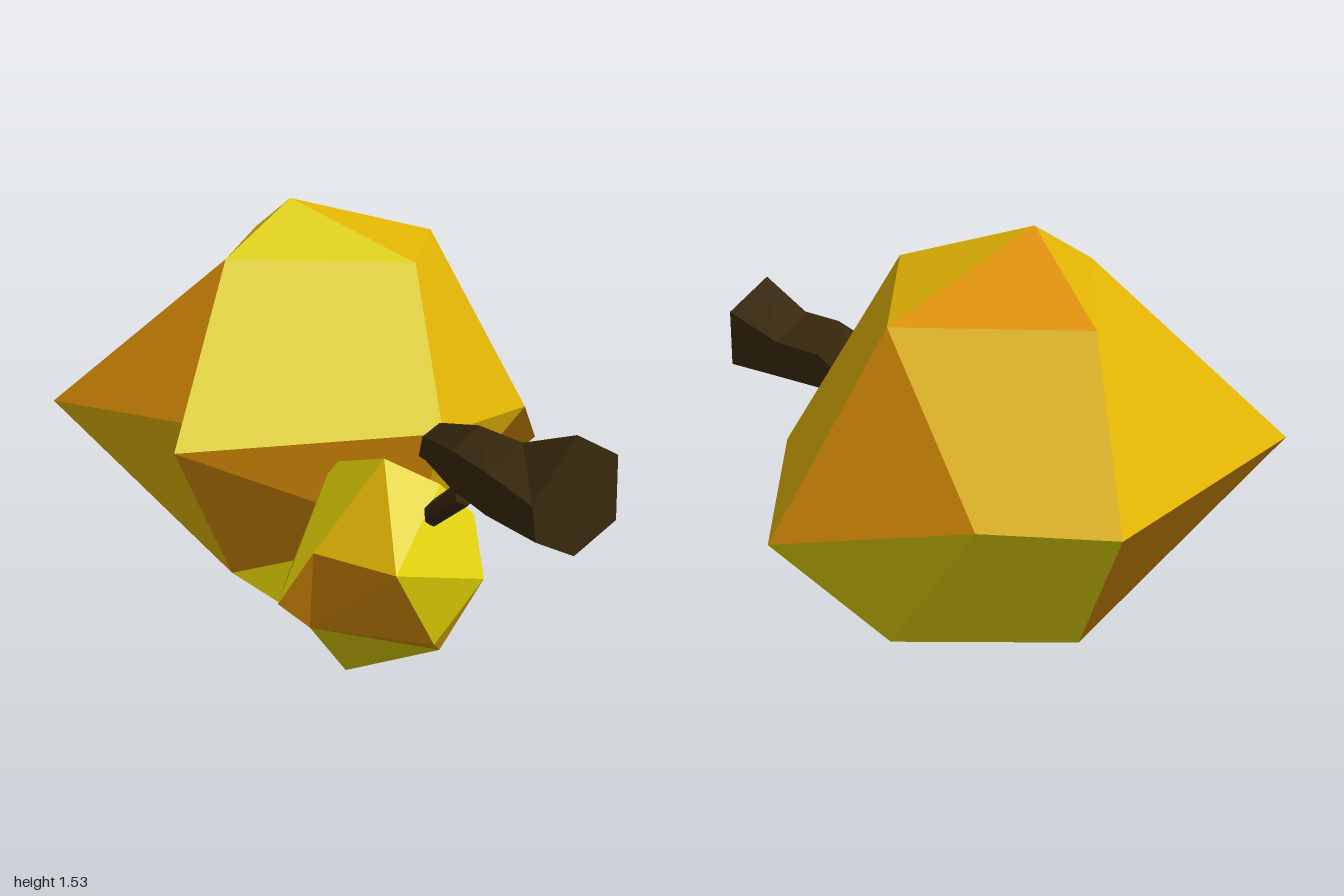
import * as THREE from 'three';

const mat = (name, color) => {
  const m = new THREE.MeshStandardMaterial({ color });
  m.name = name;
  return m;
};

// Faceted mesh from named points; faces are three or four letters, turned away from the centre.
// A four-sided face is split from its first to its third corner and shaded as one facet.
function facets(points, faces, centre, material, name) {
  const c = new THREE.Vector3(...centre);
  const pos = [];
  const nor = [];
  for (const face of faces.split(' ')) {
    let v = [...face].map((k) => new THREE.Vector3(...points[k]));
    const n = v[2].clone().sub(v[0]).cross(v[v.length - 1].clone().sub(v[1])).normalize();
    if (v.length === 3) n.copy(v[1]).sub(v[0]).cross(v[2].clone().sub(v[0])).normalize();
    const mid = v.reduce((s, p) => s.add(p), new THREE.Vector3()).divideScalar(v.length).sub(c);
    if (n.dot(mid) < 0) {
      n.negate();
      v = [v[0], ...v.slice(1).reverse()];
    }
    for (let i = 1; i < v.length - 1; i++) {
      for (const p of [v[0], v[i], v[i + 1]]) {
        pos.push(p.x, p.y, p.z);
        nor.push(n.x, n.y, n.z);
      }
    }
  }
  const g = new THREE.BufferGeometry();
  g.setAttribute('position', new THREE.Float32BufferAttribute(pos, 3));
  g.setAttribute('normal', new THREE.Float32BufferAttribute(nor, 3));
  const mesh = new THREE.Mesh(g, material);
  mesh.name = name;
  return mesh;
}

// Closed faceted prism skinned over rings, ordered clockwise seen from +z, front to back
function skin(rings, material, name) {
  const pos = [];
  const n = rings[0].length;
  const tri = (a, b, c) => pos.push(...a, ...b, ...c);
  for (let k = 0; k < rings.length - 1; k++) {
    for (let i = 0; i < n; i++) {
      const j = (i + 1) % n;
      const [a, b, c, d] = [rings[k][i], rings[k][j], rings[k + 1][j], rings[k + 1][i]];
      tri(a, b, c);
      tri(a, c, d);
    }
  }
  const last = rings[rings.length - 1];
  for (let i = 1; i < n - 1; i++) {
    tri(rings[0][0], rings[0][i + 1], rings[0][i]);
    tri(last[0], last[i], last[i + 1]);
  }
  const g = new THREE.BufferGeometry();
  g.setAttribute('position', new THREE.Float32BufferAttribute(pos, 3));
  g.computeVertexNormals();
  const mesh = new THREE.Mesh(g, material);
  mesh.name = name;
  return mesh;
}

const hexRing = (x, y, z, rx, ry) => Array.from({ length: 6 }, (_, i) => {
  const t = Math.PI / 2 - (i * Math.PI) / 3;
  return [x + rx * Math.cos(t), y + ry * Math.sin(t), z];
});

export function createModel() {
  const root = new THREE.Group();
  root.name = 'leafyBranch';
  const mats = {
    yellow: mat('leafYellow', 0xe2d204),
    gold: mat('leafGold', 0xe2b404),
    orange: mat('leafOrange', 0xde9006),
  };
  const bark = mat('bark', 0x39290e);

  const clump = (name, points, centre, faces) => {
    const group = new THREE.Group();
    group.name = name;
    for (const k in faces) group.add(facets(points, faces[k], centre, mats[k], name + '_' + k));
    root.add(group);
  };

  // Large leaf clump: a dented, once-divided octahedron
  clump('largeLeafClump', {
    A: [-0.12, 1.53, -0.3],
    B: [-0.38, 1.36, -0.3], C: [0.05, 1.36, 0.13], D: [0.48, 1.36, -0.3], E: [0.05, 1.36, -0.73],
    F: [-0.74, 0.83, -0.08], G: [0.05, 0.83, 0.27], H: [0.48, 0.83, 0.19], I: [0.74, 0.63, -0.03],
    J: [0.48, 0.83, -0.68], K: [0.2, 0.83, -1], L: [-0.7, 0.83, -0.87], M: [-0.5, 0.83, -0.3],
    N: [0.48, 0.3, -0.3], O: [0.05, 0.3, -0.7], Q: [0.05, 0.45, 0.13], R: [-0.38, 0.3, -0.3],
    P: [-0.17, 0.12, -0.17],
  }, [0.03, 0.83, -0.3], {
    yellow: 'ACB CGFB PNQ NIJ JKON PRQ',
    gold: 'ADC CDHG DIH EKJD ABE BEKL BMF QHG RML',
    orange: 'AED DJI BML HINQ PNO POR LROK QGF FRM QFR',
  });

  // Small leaf clump hanging in front, with a pointed underside
  clump('smallLeafClump', {
    a: [-0.45, 0.53, 0.24], b: [-0.35, 0.51, 0.52], c: [-0.5, 0.34, 0.12], d: [-0.39, 0.24, 0.14],
    e: [-0.18, 0.24, 0.5], f: [-0.08, 0.17, 0.41], g: [0.175, 0.18, 0.21], h: [0.07, 0.59, 0.4],
    i: [-0.03, 0.44, 0.56], V: [-0.25, 0.82, 0.34], W: [-0.1, 0.73, 0.43], X: [-0.25, 0.75, 0.08],
    Y: [0.1, 0.62, 0.17], Z: [0.08, 0.36, 0], U: [-0.03, 0.165, 0.2], B: [-0.16, 0, 0.03],
    L: [-0.36, 0.36, -0.02],
  }, [-0.16, 0.42, 0.25], {
    yellow: 'hibW VbW bei VacX dfB fUB fgU UBZ',
    gold: 'Vab VWX XWY WhY hYg YZg gZU ief dBL LZB XYZ XZL XLc',
    orange: 'abd acd bde ifgh edf cdL',
  });

  // Branch: six-sided, thick at the cut end and narrowing into the leaves
  root.add(skin([
    [[-0.08, 1.01, 1], [0.09, 0.92, 1], [0.09, 0.72, 1],
      [-0.08, 0.645, 1], [-0.235, 0.72, 1], [-0.25, 0.83, 1]],
    hexRing(-0.075, 0.805, 0.77, 0.165, 0.13),
    hexRing(-0.06, 0.82, 0.56, 0.125, 0.12),
    hexRing(0.045, 0.79, 0.26, 0.07, 0.075),
    hexRing(0.06, 0.79, 0.1, 0.05, 0.06),
  ], bark, 'branch'));

  // Short twig under the branch
  root.add(skin([
    hexRing(-0.12, 0.75, 0.58, 0.055, 0.05),
    hexRing(-0.15, 0.655, 0.46, 0.045, 0.045),
  ], bark, 'twig'));

  return root;
}
